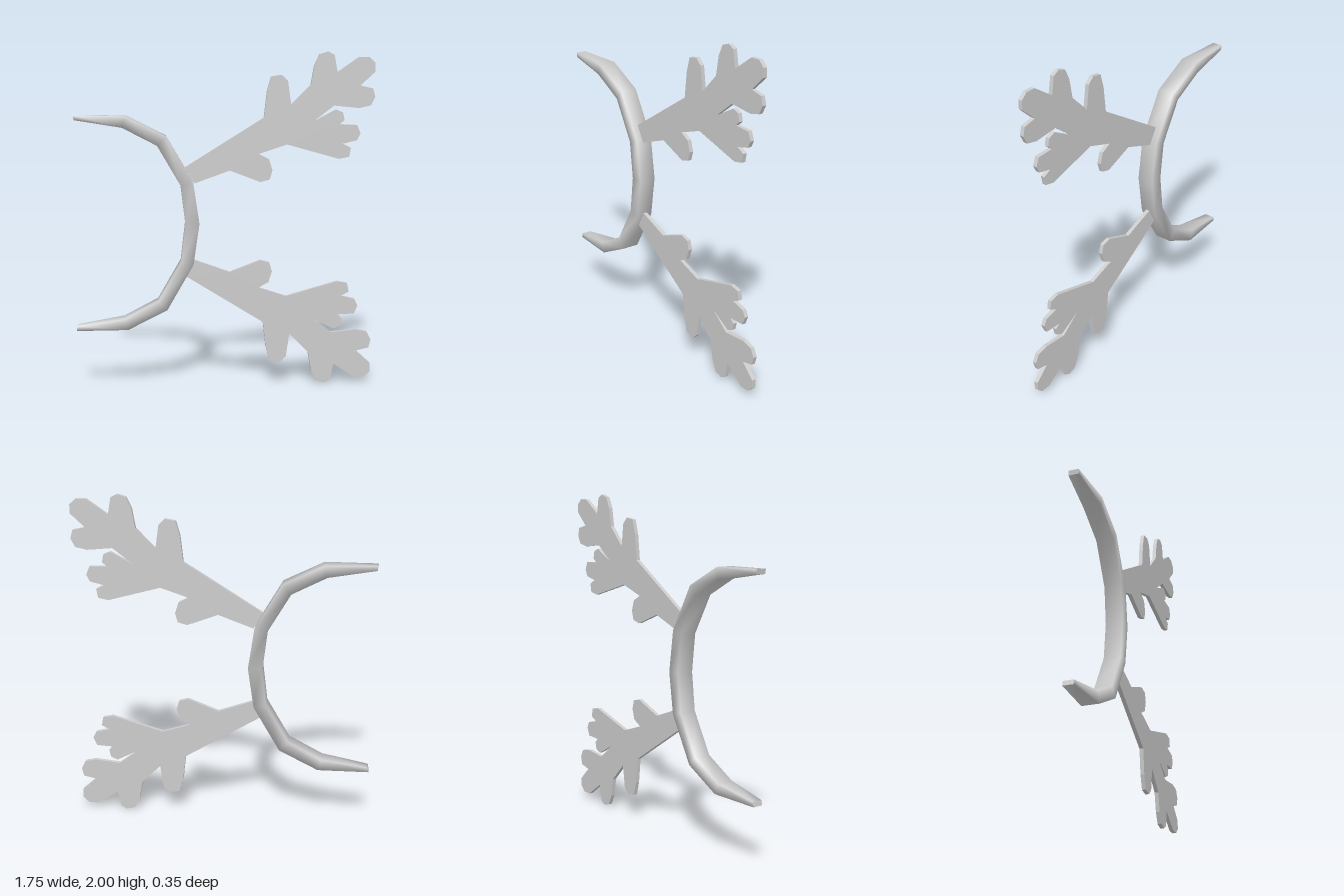
import * as THREE from 'three';

const TILT = THREE.MathUtils.degToRad(10);
const material = new THREE.MeshStandardMaterial({ color: 0xcccccc });

// Upper half of the band, tip to middle: outer x, outer y, inner x, inner y, half width
const BAND = [
  [-0.888, 0.640, -0.883, 0.612, 0.031],
  [-0.583, 0.634, -0.605, 0.568, 0.052],
  [-0.349, 0.517, -0.402, 0.462, 0.052],
  [-0.192, 0.246, -0.265, 0.226, 0.052],
  [-0.156, 0, -0.238, 0, 0.052],
];

// Antler outline, starting at the base and running clockwise round the tines
const ANTLER = [
  [-0.235, 1.325], [0.224, 1.615],
  [0.241, 1.77], [0.265, 1.855], [0.325, 1.865], [0.362, 1.83], [0.382, 1.69],
  [0.495, 1.805], [0.515, 1.92], [0.545, 1.985], [0.595, 2.0], [0.632, 1.98], [0.65, 1.88],
  [0.775, 1.968], [0.835, 1.968], [0.87, 1.935], [0.87, 1.882], [0.785, 1.802],
  [0.86, 1.785], [0.873, 1.735], [0.848, 1.685], [0.78, 1.67], [0.632, 1.685], [0.51, 1.59],
  [0.645, 1.662], [0.685, 1.645], [0.695, 1.60], [0.668, 1.575],
  [0.77, 1.57], [0.79, 1.52], [0.77, 1.48], [0.687, 1.46],
  [0.735, 1.435], [0.725, 1.382], [0.665, 1.37], [0.36, 1.457], [0.195, 1.402],
  [0.255, 1.37], [0.275, 1.305], [0.26, 1.25], [0.205, 1.235], [0.025, 1.305], [-0.18, 1.23],
];

// Four-cornered band swept through its sections, smooth along the sides, capped tips
function bandGeometry() {
  const lower = BAND.slice(0, -1).reverse().map(([a, b, c, d, w]) => [a, -b, c, -d, w]);
  const sections = [...BAND, ...lower];
  const pos = [], index = [];
  const corners = ([ox, oy, ix, iy, w]) =>
    [ox, oy, w, ox, oy, -w, ix, iy, -w, ix, iy, w];
  sections.forEach((s) => pos.push(...corners(s)));
  for (let i = 0; i < sections.length - 1; i++) {
    for (let k = 0; k < 4; k++) {
      const a = i * 4 + k, b = i * 4 + (k + 1) % 4, c = a + 4, d = b + 4;
      index.push(a, c, b, b, c, d);
    }
  }
  // Tip caps with their own vertices
  const n = sections.length * 4;
  pos.push(...corners(sections[0]), ...corners(sections[sections.length - 1]));
  index.push(n, n + 1, n + 2, n, n + 2, n + 3);
  index.push(n + 4, n + 6, n + 5, n + 4, n + 7, n + 6);
  const geo = new THREE.BufferGeometry();
  geo.setAttribute('position', new THREE.Float32BufferAttribute(pos, 3));
  geo.setIndex(index);
  geo.computeVertexNormals();
  return geo;
}

// Flat antler plate; side is 1 for the upper one, -1 for its mirror
function antlerGeometry(side) {
  const depth = 0.024;
  const shape = new THREE.Shape(
    ANTLER.map(([x, y]) => new THREE.Vector2(x / Math.cos(TILT), 1 + side * (y - 1)))
  );
  return new THREE.ExtrudeGeometry(shape, { depth, bevelEnabled: false })
    .translate(0, 0, -depth / 2);
}

export function createModel() {
  const model = new THREE.Group();
  model.name = 'antlerHeadband';

  // Everything lies in one upright plane turned about the vertical
  const plane = new THREE.Group();
  plane.name = 'tiltedPlane';
  plane.rotation.y = TILT;
  plane.position.z = -0.011;
  model.add(plane);

  const add = (name, geometry) => {
    const mesh = new THREE.Mesh(geometry, material);
    mesh.name = name;
    plane.add(mesh);
    return mesh;
  };
  add('headband', bandGeometry()).position.y = 0.994;
  add('upperAntler', antlerGeometry(1));
  add('lowerAntler', antlerGeometry(-1));
  return model;
}
